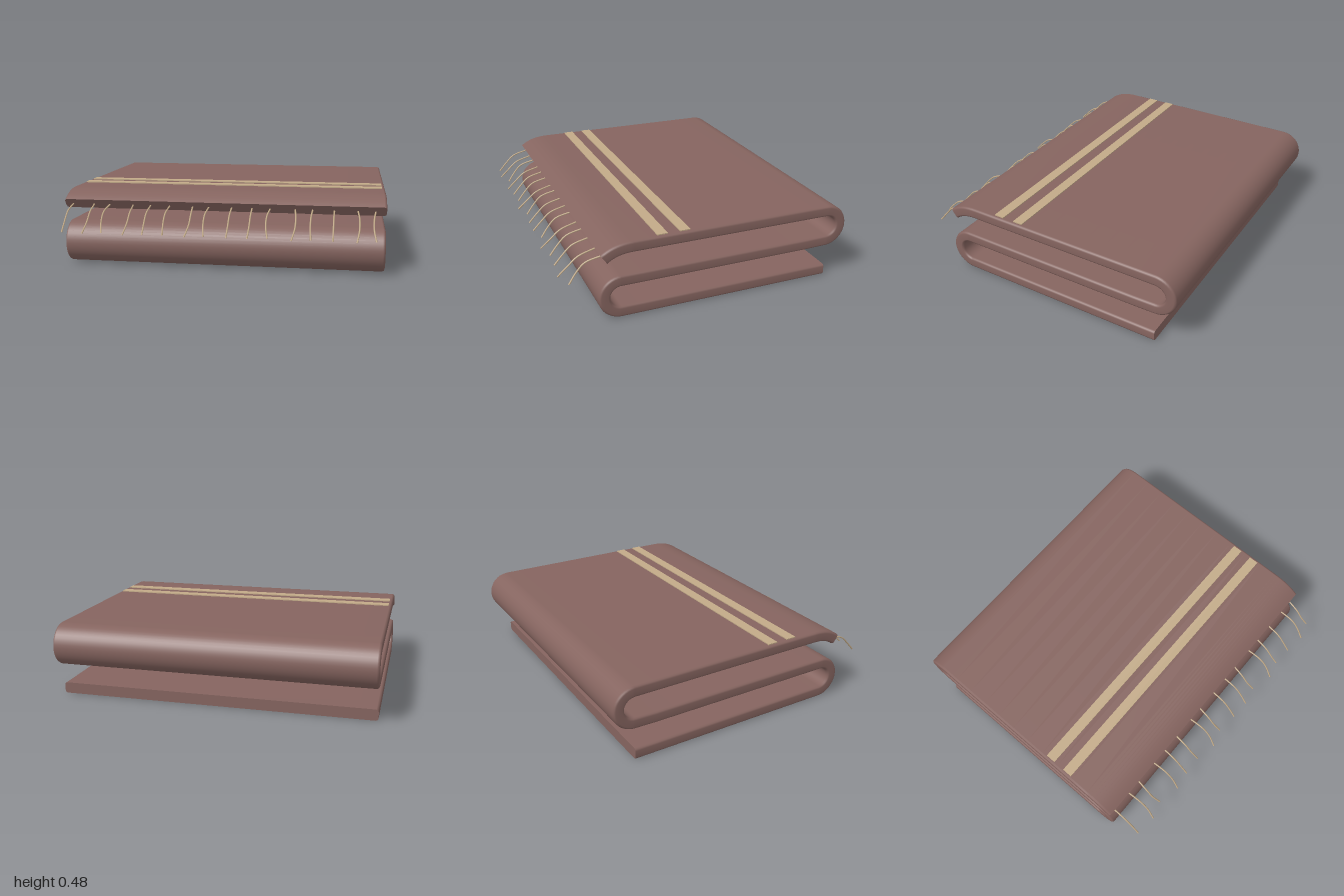
import * as THREE from 'three';

const mat = (name, color) => Object.assign(new THREE.MeshStandardMaterial({ color }), { name });

// Centre line of the folded cloth in (z, y), from the bottom back end to the top front end
function foldPath() {
  const pts = [];
  const line = (z0, z1, y, n) => {
    for (let i = 0; i < n; i++) pts.push([z0 + (z1 - z0) * i / n, y]);
  };
  const arc = (cz, cy, side) => {
    for (let i = 0; i < 20; i++) {
      const a = -Math.PI / 2 + Math.PI * i / 20;
      pts.push([cz + side * 0.1 * Math.cos(a), cy + 0.1 * Math.sin(a)]);
    }
  };
  line(-0.78, 0.58, 0.035, 10);
  arc(0.58, 0.135, 1);
  line(0.58, -0.775, 0.235, 10);
  arc(-0.775, 0.338, -1);
  line(-0.775, 0.5, 0.439, 10);
  // drooping front edge
  const droop = new THREE.CubicBezierCurve(
    new THREE.Vector2(0.5, 0.439), new THREE.Vector2(0.57, 0.439),
    new THREE.Vector2(0.625, 0.427), new THREE.Vector2(0.678, 0.388));
  for (const p of droop.getPoints(10)) pts.push([p.x, p.y]);
  return pts;
}

// Sweep a thin section with softened edges along the folds
function clothGeometry() {
  const path = foldPath();
  const section = [
    [-0.985, 0.035], [0.985, 0.035], [0.996, 0.03], [1, 0.02],
    [1, -0.02], [0.996, -0.03], [0.985, -0.035],
    [-0.985, -0.035], [-0.996, -0.03], [-1, -0.02], [-1, 0.02], [-0.996, 0.03],
  ];
  const n = section.length, pos = [], idx = [];
  const ring = (i) => {
    const a = path[Math.max(i - 1, 0)], b = path[Math.min(i + 1, path.length - 1)];
    const len = Math.hypot(b[0] - a[0], b[1] - a[1]);
    const tz = (b[0] - a[0]) / len, ty = (b[1] - a[1]) / len;
    for (const [x, o] of section) pos.push(x, path[i][1] + tz * o, path[i][0] - ty * o);
  };
  path.forEach((_, i) => ring(i));
  for (let i = 0; i < path.length - 1; i++) {
    for (let j = 0; j < n; j++) {
      const k = (j + 1) % n, a = i * n + j, b = i * n + k;
      idx.push(a, a + n, b, b, a + n, b + n);
    }
  }
  // end caps with their own vertices, so their edges stay sharp
  for (const end of [0, path.length - 1]) {
    const base = pos.length / 3;
    ring(end);
    for (let j = 1; j < n - 1; j++) {
      if (end === 0) idx.push(base, base + j, base + j + 1);
      else idx.push(base, base + j + 1, base + j);
    }
  }
  const g = new THREE.BufferGeometry();
  g.setAttribute('position', new THREE.Float32BufferAttribute(pos, 3));
  g.setIndex(idx);
  g.computeVertexNormals();
  return g;
}

export function createModel() {
  const model = new THREE.Group();
  model.name = 'foldedBlanket';
  const brown = mat('brown wool', 0x85645f);
  const tan = mat('tan thread', 0xc2aa88);
  brown.side = THREE.DoubleSide;

  const add = (name, geometry, material) => {
    const m = new THREE.Mesh(geometry, material);
    m.name = name;
    model.add(m);
    return m;
  };

  add('cloth', clothGeometry(), brown);

  // two stripes across the top layer
  for (const z of [0.183, 0.323]) {
    add('stripe', new THREE.BoxGeometry(1.96, 0.008, 0.065), tan).position.set(0, 0.476, z);
  }

  // fringe strands: [x, z of the tip]
  const strands = [
    [-0.95, 0.89], [-0.813, 0.905], [-0.71, 0.87], [-0.56, 0.905],
    [-0.447, 0.887], [-0.325, 0.88], [-0.18, 0.91], [-0.077, 0.875],
    [0.065, 0.892], [0.191, 0.895], [0.303, 0.87], [0.454, 0.91],
    [0.56, 0.88], [0.69, 0.888], [0.83, 0.905], [0.935, 0.87],
  ];
  for (const [x, tip] of strands) {
    const bow = (tip - 0.888) * 0.6, reach = tip - 0.67;
    const curve = new THREE.CatmullRomCurve3([
      new THREE.Vector3(x, 0.387, 0.67),
      new THREE.Vector3(x + bow, 0.355, 0.67 + reach * 0.5),
      new THREE.Vector3(x + bow, 0.305, 0.67 + reach * 0.75),
      new THREE.Vector3(x - bow * 0.3, 0.243, tip),
    ]);
    add('fringeStrand', new THREE.TubeGeometry(curve, 12, 0.005, 6), tan);
  }
  return model;
}
